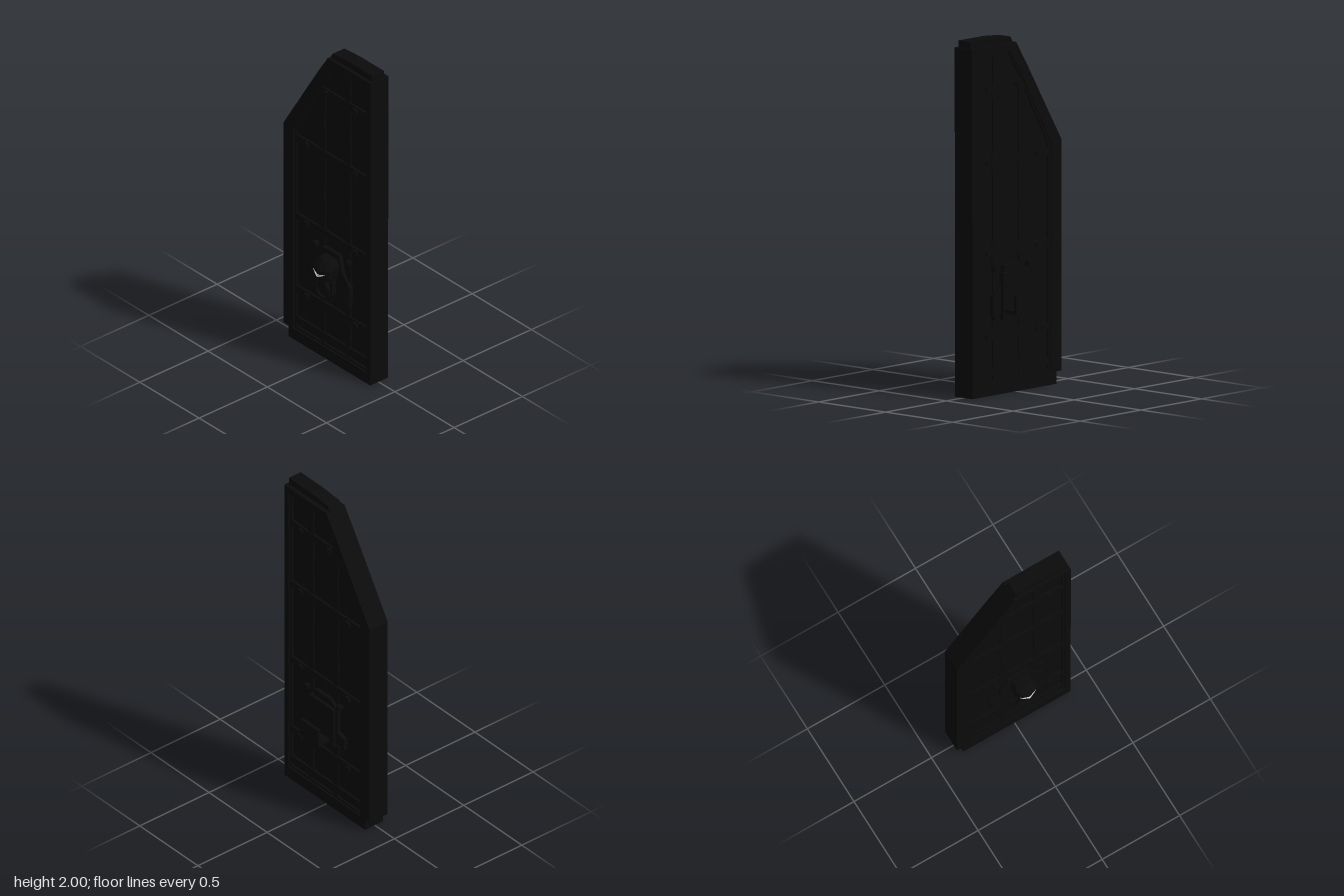
import * as THREE from 'three';

const DARK = new THREE.MeshStandardMaterial({ color: 0x0b0b0b, flatShading: true });
const LIGHT = new THREE.MeshStandardMaterial({ color: 0xcccccc, flatShading: true });
const MID = -0.005; // middle of the door's thickness

const toShape = (pts) => new THREE.Shape(pts.map(([x, y]) => new THREE.Vector2(x, y)));

export function createModel() {
  const root = new THREE.Group();

  const add = (name, geo, x = 0, y = 0, z = 0, parent = root, mat = DARK) => {
    const mesh = new THREE.Mesh(geo, mat);
    mesh.name = name;
    mesh.position.set(x, y, z);
    parent.add(mesh);
    return mesh;
  };
  const box = (name, x0, x1, y0, y1, z0, z1, parent) =>
    add(name, new THREE.BoxGeometry(x1 - x0, y1 - y0, z1 - z0),
      (x0 + x1) / 2, (y0 + y1) / 2, (z0 + z1) / 2, parent);
  const slab = (name, shape, z0, z1, parent) =>
    add(name, new THREE.ExtrudeGeometry(shape, { depth: z1 - z0, bevelEnabled: false }), 0, 0, z0, parent);

  // Door leaf: raised frame around a sunken panel
  const inner = [[-0.29, 0.07], [0.33, 0.07], [0.33, 1.92], [0.05, 1.92], [-0.04, 1.78], [-0.29, 1.36]];
  const frame = toShape([[-0.33, 0], [0.362, 0], [0.365, 1.96], [0.002, 1.96], [-0.09, 1.82],
    [-0.37, 1.37], [-0.37, 0.07], [-0.33, 0.07]]);
  frame.holes.push(new THREE.Path(inner.map(([x, y]) => new THREE.Vector2(x, y))));
  slab('frame', frame, -0.07, 0.06);
  slab('panel', toShape(inner), -0.047, 0.037);
  slab('topTongue', toShape([[0, 1.955], [0.355, 1.955], [0.355, 2], [0.16, 2], [0.022, 1.99]]), -0.045, 0.04);

  // Thin inner moulding along the frame opening
  const moulding = toShape(inner);
  moulding.holes.push(new THREE.Path(inner.map(([x, y]) =>
    new THREE.Vector2(0.03 + (x - 0.03) * 0.95, 1 + (y - 1) * 0.985))));
  slab('moulding', moulding, -0.06, 0.05);

  // Horizontal bands with bolt blocks
  const bands = [0.13, 0.33, 0.8, 1.31, 1.72];
  for (const y of bands) {
    const left = y > 1.36 ? -0.29 + (y - 1.36) * 0.595 : -0.29;
    box('band', left, 0.33, y - 0.022, y + 0.022, -0.06, 0.05);
    if (y < 0.2) continue;
    for (const x of [Math.max(-0.178, left + 0.06), 0.23]) {
      box('boltBlock', x - 0.015, x + 0.015, y - 0.012, y + 0.012, -0.074, 0.064);
    }
  }

  // Vertical battens, slightly waisted between the bands
  const batten = (x, y0, y1) => {
    const s = new THREE.Shape();
    const w = 0.026, bow = 0.012, m = (y0 + y1) / 2;
    s.moveTo(x - w, y0);
    s.lineTo(x + w, y0);
    s.quadraticCurveTo(x + w - bow, m, x + w, y1);
    s.lineTo(x - w, y1);
    s.quadraticCurveTo(x - w + bow, m, x - w, y0);
    slab('batten', s, -0.055, 0.045);
  };
  const stops = [0.07, ...bands, 1.92];
  for (let i = 0; i < stops.length - 1; i++) {
    if (i < stops.length - 2) batten(-0.06, stops[i], stops[i + 1]);
    batten(0.155, stops[i], stops[i + 1]);
  }

  // Lock plates on both faces
  const lock = new THREE.Group();
  lock.name = 'lock';
  root.add(lock);
  const plate = toShape([[-0.09, 0.41], [0.1, 0.41], [0.13, 0.44], [0.19, 0.45], [0.19, 0.55], [0.12, 0.63],
    [0.1, 0.72], [-0.04, 0.72], [-0.09, 0.68], [-0.09, 0.53], [-0.15, 0.51], [-0.15, 0.44]]);
  slab('lockPlate', plate, -0.072, 0.062, lock);
  box('backCasing', -0.08, 0.13, 0.43, 0.68, -0.09, -0.06, lock);
  for (const x of [-0.106, 0.171]) {
    for (const y of [0.435, 0.705]) box('lug', x - 0.013, x + 0.013, y - 0.012, y + 0.012, -0.08, 0.067, lock);
  }

  // Upturned handle on the back
  box('handleArm', -0.045, 0.11, 0.45, 0.472, -0.17, -0.085, lock);
  box('handleGrip', -0.045, 0.11, 0.472, 0.56, -0.17, -0.152, lock);

  // Faceted head on the front, lofted upwards from half-width, front-depth rows
  const head = new THREE.Group();
  head.name = 'frontHead';
  head.position.x = 0.035;
  root.add(head);
  const rows = [[0.57, 0.05, 0.145], [0.595, 0.06, 0.16], [0.64, 0.065, 0.168], [0.665, 0.062, 0.15], [0.69, 0.045, 0.125]];
  const ring = [[-1, 0], [-1, 0.65], [-0.72, 0.88], [0, 1], [0.72, 0.88], [1, 0.65], [1, 0]];
  const pos = [], idx = [], n = ring.length;
  for (const [y, w, d] of rows) for (const [u, v] of ring) pos.push(u * w, y, 0.05 + v * (d - 0.05));
  for (let r = 0; r < rows.length - 1; r++) {
    for (let i = 0; i < n; i++) {
      const a = r * n + i, b = r * n + (i + 1) % n;
      idx.push(a, b, b + n, a, b + n, a + n);
    }
  }
  const top = (rows.length - 1) * n;
  for (let i = 1; i < n - 1; i++) idx.push(0, i + 1, i, top, top + i, top + i + 1);
  const headGeo = new THREE.BufferGeometry();
  headGeo.setAttribute('position', new THREE.Float32BufferAttribute(pos, 3));
  headGeo.setIndex(idx);
  headGeo.computeVertexNormals();
  add('headShell', headGeo, 0, 0, 0, head);

  // Pale crescent across the face of the head
  const crescent = new THREE.Shape();
  crescent.moveTo(-0.05, 0.625);
  crescent.quadraticCurveTo(0, 0.575, 0.05, 0.625);
  crescent.quadraticCurveTo(0, 0.6, -0.05, 0.625);
  const crescentGeo = new THREE.ExtrudeGeometry(crescent, { depth: 0.012, bevelEnabled: false, curveSegments: 8 });
  const p = crescentGeo.attributes.position;
  for (let i = 0; i < p.count; i++) p.setZ(i, p.getZ(i) + 0.157 - Math.abs(p.getX(i)) * 0.35);
  crescentGeo.computeVertexNormals();
  add('crescent', crescentGeo, 0, 0, 0, head, LIGHT);

  // Neck, side pivots and hanging ring
  box('neck', -0.04, 0.04, 0.46, 0.6, 0.05, 0.09, head);
  box('ringMount', -0.025, 0.025, 0.53, 0.58, 0.08, 0.13, head);
  for (const s of [-1, 1]) {
    add('pivot', new THREE.SphereGeometry(0.009, 8, 6), s * 0.061, 0.595, 0.125, head);
  }
  add('knockerRing', new THREE.TorusGeometry(0.052, 0.008, 8, 24), 0, 0.5, 0.125, head);
  add('knockerBall', new THREE.SphereGeometry(0.014, 10, 8), 0, 0.447, 0.125, head);
  add('strikeStud', new THREE.CylinderGeometry(0.02, 0.024, 0.03, 10), 0, 0.5, 0.095, head).rotation.x = Math.PI / 2;

  return root;
}
